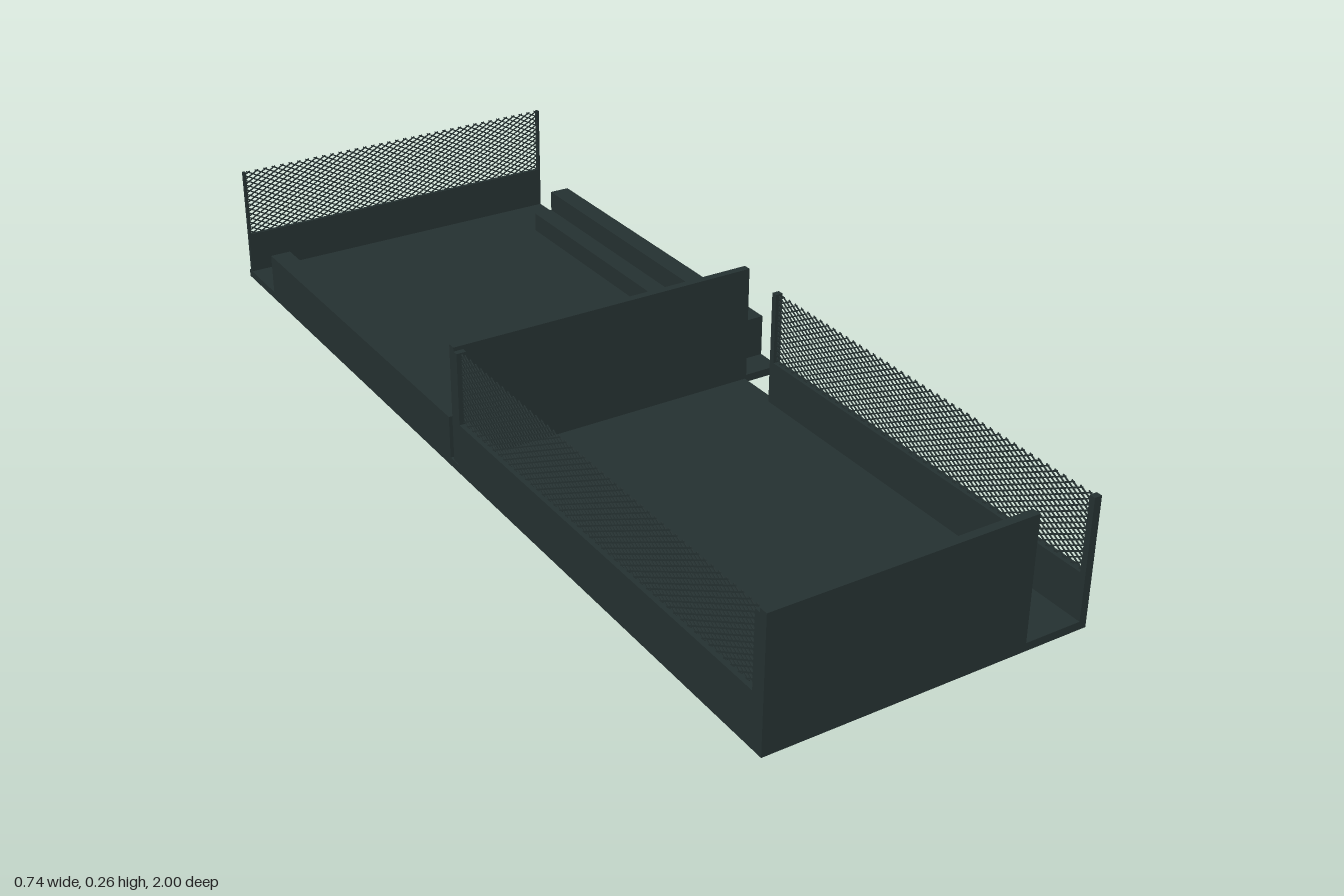
import * as THREE from 'three';
import { mergeGeometries } from 'three/addons/utils/BufferGeometryUtils.js';

const FLOOR = 0.02, RAIL = 0.11, TOP = 0.265, MESH_TOP = 0.257;

export function createModel() {
  const model = new THREE.Group();
  model.name = 'fencedYard';
  const slate = new THREE.MeshStandardMaterial({ color: 0x243030 });
  slate.name = 'dark slate';

  // Box given by its minimum and maximum on each axis
  function box(name, x0, x1, y0, y1, z0, z1, parent = model) {
    const mesh = new THREE.Mesh(new THREE.BoxGeometry(x1 - x0, y1 - y0, z1 - z0), slate);
    mesh.position.set((x0 + x1) / 2, (y0 + y1) / 2, (z0 + z1) / 2);
    mesh.name = name;
    parent.add(mesh);
    return mesh;
  }

  // Woven wire: two families of diagonals clipped to a rectangle in the xy plane
  function wireGeometry(length, height) {
    const pitch = 0.02, slope = 0.55, wire = 0.0024, parts = [];
    const run = height / slope;
    for (let start = -run + pitch / 2; start < length; start += pitch) {
      const xa = Math.max(0, start), xb = Math.min(length, start + run);
      if (xb - xa < 0.002) continue;
      const ya = (xa - start) * slope, yb = (xb - start) * slope;
      for (const side of [1, -1]) {
        const g = new THREE.BoxGeometry(Math.hypot(xb - xa, yb - ya), wire, 0.002);
        g.rotateZ(side * Math.atan(slope));
        const y = (ya + yb) / 2;
        g.translate((xa + xb) / 2, side > 0 ? y : height - y, side * 0.0005);
        parts.push(g);
      }
    }
    return mergeGeometries(parts);
  }

  // Fence built along local x: low solid wall, end posts and wire above
  function fence(name, length, thick, base, post) {
    const group = new THREE.Group();
    group.name = name;
    box('lowWall', 0, length, base, RAIL, -thick / 2, thick / 2, group);
    for (const x of [0, length - post]) {
      box('post', x, x + post, RAIL, MESH_TOP, -thick / 2, thick / 2, group);
    }
    const wire = new THREE.Mesh(wireGeometry(length - 2 * post, MESH_TOP - RAIL), slate);
    wire.position.set(post, RAIL, 0);
    wire.name = 'wireMesh';
    group.add(wire);
    model.add(group);
    return group;
  }

  // Floors of the two offset halves
  box('frontFloor', -0.37, 0.28, 0.004, FLOOR, 0, 1);
  box('rearFloor', -0.37, 0.37, 0.004, FLOOR, -1, 0);

  // Tall walls, the front one leaving a doorway beside the fence
  box('frontWall', -0.37, 0.15, 0.004, TOP, 0.983, 1);
  box('dividingWall', -0.37, 0.28, 0.0225, TOP, 0, 0.016);

  // Fences along both sides of the front half
  const leftFence = fence('leftFence', 0.885, 0.015, 0.004, 0.012);
  leftFence.rotation.y = Math.PI / 2;
  leftFence.position.set(0.2725, 0, 1);
  const rightFence = fence('rightFence', 0.967, 0.02, 0.004, 0.012);
  rightFence.rotation.y = Math.PI / 2;
  rightFence.position.set(-0.36, 0, 0.983);

  // Fence across the rear end
  const rearFence = fence('rearFence', 0.74, 0.008, 0.0205, 0.006);
  rearFence.position.set(-0.37, 0, -0.989);

  // Two-step benches along both sides of the rear half
  for (const [side, z0, z1] of [[1, -0.855, -0.06], [-1, -0.86, -0.015]]) {
    const bench = new THREE.Group();
    bench.name = side > 0 ? 'leftBench' : 'rightBench';
    const span = (a, b) => [Math.min(side * a, side * b), Math.max(side * a, side * b)];
    box('benchSeat', ...span(0.283, 0.326), side > 0 ? 0.001 : 0.01, 0.062, z0, z1, bench);
    box('benchBack', ...span(0.326, 0.37), 0.005, 0.107, z0, z1, bench);
    model.add(bench);
  }
  return model;
}
